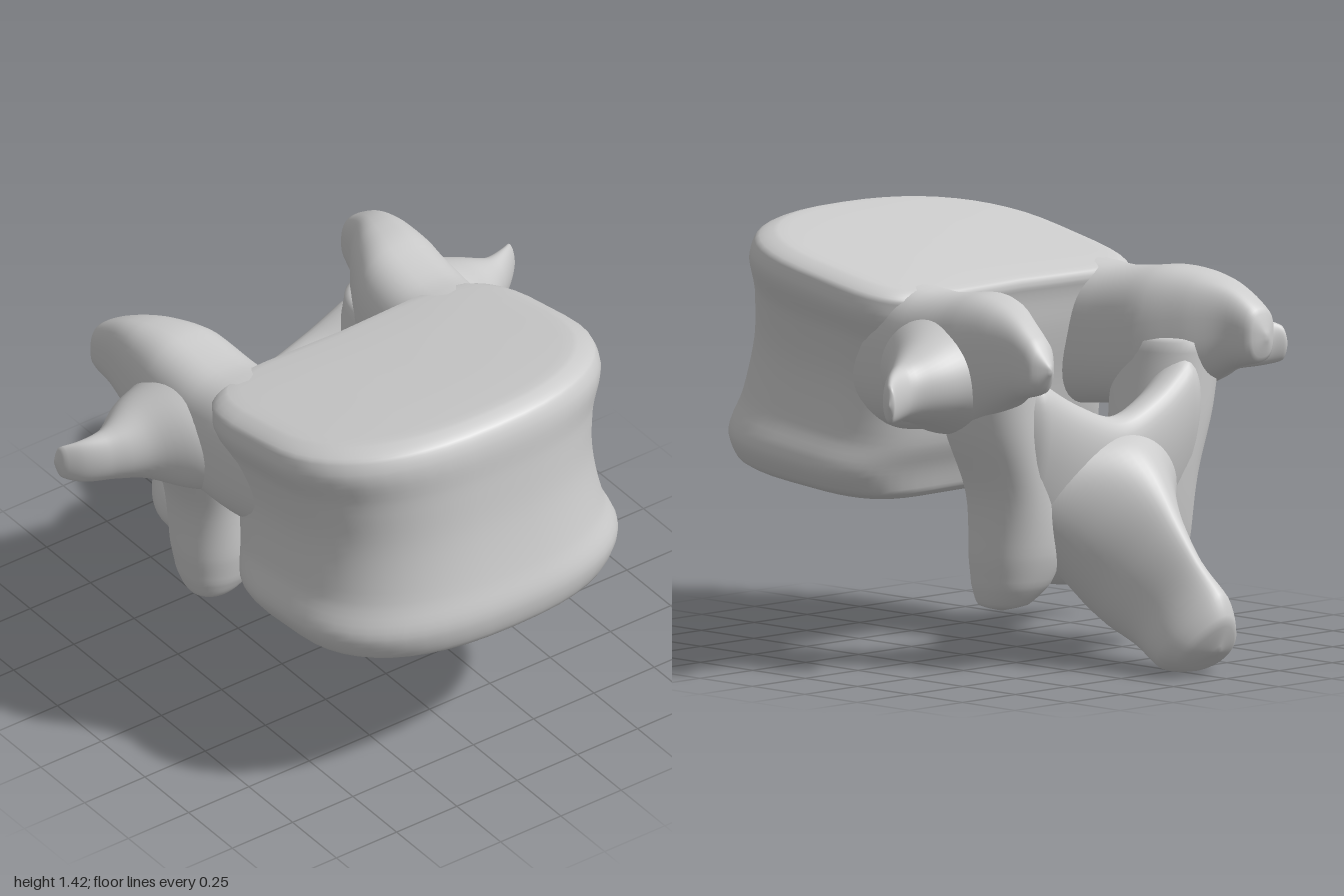
import * as THREE from 'three';
import { mergeVertices } from 'three/addons/utils/BufferGeometryUtils.js';

const X = new THREE.Vector3(1, 0, 0);
const Y = new THREE.Vector3(0, 1, 0);
const Z = new THREE.Vector3(0, 0, 1);
const SEGMENTS = 48;
const STEPS = 5;

// Section outlines: angle -> unit coordinates along the two section axes
const oval = (t) => [Math.cos(t), Math.sin(t)];
const squarish = (n) => (t) => oval(t).map((v) => Math.sign(v) * Math.abs(v) ** (2 / n));
const teardrop = (t) => [Math.cos(t) * (1 - 0.35 * Math.sin(t)), Math.sin(t)];
// Rounded in front, flatter and slightly hollow at the back
const kidney = (t) => {
  const [p, q] = squarish(Math.sin(t) > 0 ? 2.4 : 4.5)(t);
  return [p, q < 0 ? q * (1 - 0.08 * (1 - p * p) ** 2) : q];
};

// Smooth loft through rows of [x, y, z, radiusU, radiusV, tilt of V in y]
function loft(name, u, v, outline, rows, side = 1) {
  const path = new THREE.CatmullRomCurve3(rows.map((r) => new THREE.Vector3(r[0], r[1], r[2])));
  const sizes = new THREE.CatmullRomCurve3(rows.map((r) => new THREE.Vector3(r[3], r[4], r[5] ?? 0)));
  const rings = (rows.length - 1) * STEPS;
  const travel = path.getPoint(1).sub(path.getPoint(0));
  const flip = new THREE.Vector3().crossVectors(u, v).dot(travel) * side < 0;
  const positions = [];
  const index = [];
  for (let i = 0; i <= rings; i++) {
    const centre = path.getPoint(i / rings);
    const size = sizes.getPoint(i / rings);
    const tilted = v.clone().addScaledVector(Y, size.z);
    for (let j = 0; j < SEGMENTS; j++) {
      const [p, q] = outline((j / SEGMENTS) * Math.PI * 2);
      const point = centre.clone()
        .addScaledVector(u, p * Math.max(size.x, 0))
        .addScaledVector(tilted, q * Math.max(size.y, 0));
      positions.push(point.x * side, point.y, point.z);
      if (i === rings) continue;
      const k = (j + 1) % SEGMENTS;
      const a = i * SEGMENTS + j, b = i * SEGMENTS + k;
      const c = a + SEGMENTS, d = b + SEGMENTS;
      if (flip) index.push(a, c, b, b, c, d);
      else index.push(a, b, c, b, d, c);
    }
  }
  let geometry = new THREE.BufferGeometry();
  geometry.setAttribute('position', new THREE.Float32BufferAttribute(positions, 3));
  geometry.setIndex(index);
  geometry = mergeVertices(geometry, 1e-5);
  geometry.computeVertexNormals();
  const mesh = new THREE.Mesh(geometry, new THREE.MeshStandardMaterial({ color: 0xcccccc }));
  mesh.name = name;
  return mesh;
}

export function createModel() {
  const model = new THREE.Group();
  model.name = 'vertebra';

  // Waisted body with rounded rims and sloping end plates
  model.add(loft('vertebralBody', X, Z, kidney, [
    [0.01, 0.55, 0.54, 0, 0, 0.08],
    [0.01, 0.552, 0.54, 0.3, 0.22, 0.08],
    [0.01, 0.56, 0.54, 0.5, 0.37, 0.09],
    [0.01, 0.595, 0.55, 0.585, 0.43, 0.1],
    [0.01, 0.68, 0.545, 0.625, 0.455, 0.12],
    [0.01, 0.79, 0.505, 0.585, 0.465, 0.14],
    [0.01, 0.97, 0.465, 0.565, 0.465, 0.16],
    [0.01, 1.14, 0.435, 0.59, 0.475, 0.18],
    [0.01, 1.26, 0.42, 0.635, 0.48, 0.2],
    [0.01, 1.315, 0.4, 0.625, 0.475, 0.2],
    [0.01, 1.345, 0.375, 0.56, 0.435, 0.2],
    [0.01, 1.353, 0.37, 0.3, 0.23, 0.2],
    [0.01, 1.355, 0.37, 0, 0, 0.2],
  ]));

  // Plate closing the arch behind the canal, leaning back at the top
  const laminaHalf = [
    [0.18, 0.59, -0.375, 0.31, 0.125],
    [0.34, 0.69, -0.345, 0.31, 0.14],
    [0.42, 0.76, -0.33, 0.2, 0.11],
    [0.46, 0.78, -0.32, 0, 0],
  ];
  model.add(loft('lamina', new THREE.Vector3(0, 1, -0.25), Z, squarish(2.2), [
    ...laminaHalf.map(([x, ...rest]) => [-x, ...rest]).reverse(),
    [0, 0.55, -0.39, 0.29, 0.12],
    ...laminaHalf,
  ]));

  // Ridge flaring from the lamina, sweeping back and down to a knobbed tip
  model.add(loft('spinousProcess', X, new THREE.Vector3(0, 0.78, -0.62), teardrop, [
    [0, 0.64, -0.37, 0, 0],
    [0, 0.63, -0.38, 0.38, 0.2],
    [0, 0.575, -0.43, 0.33, 0.235],
    [0, 0.47, -0.51, 0.235, 0.255],
    [0, 0.34, -0.61, 0.145, 0.245],
    [0, 0.235, -0.74, 0.105, 0.205],
    [-0.01, 0.15, -0.855, 0.135, 0.18],
    [-0.01, 0.11, -0.92, 0.11, 0.12],
    [-0.01, 0.09, -0.95, 0, 0],
  ]));

  for (const [side, label] of [[1, 'left'], [-1, 'right']]) {
    // Pedicle flowing out of the body into the upper joint process
    model.add(loft(label + 'PedicleAndUpperProcess', X, Y, squarish(2.6), [
      [0.36, 1.02, 0.34, 0, 0],
      [0.37, 1.02, 0.3, 0.17, 0.21],
      [0.405, 1.035, 0.1, 0.19, 0.25],
      [0.425, 1.035, -0.08, 0.185, 0.232],
      [0.44, 1.055, -0.28, 0.175, 0.235],
      [0.475, 1.09, -0.43, 0.13, 0.19],
      [0.505, 1.1, -0.54, 0.085, 0.14],
      [0.52, 1.08, -0.64, 0.06, 0.09],
      [0.525, 1.075, -0.685 - side * 0.015, 0, 0],
    ], side));

    // Wing with a broad root, tapering to a thin outer tip; the right one sits further forward
    const shift = side > 0 ? 0 : 0.05;
    model.add(loft(label + 'TransverseProcess', Y, Z, oval, [
      [0.36, 1.02, -0.15, 0, 0],
      [0.4, 1.02, -0.15, 0.22, 0.31],
      [0.52, 1.015, -0.16, 0.21, 0.265],
      [0.6, 1.01, -0.175, 0.18, 0.22],
      [0.7, 1.0, -0.225, 0.135, 0.14],
      [0.81, 0.985, -0.26 + shift * 0.6, 0.095, 0.068],
      [0.9, 0.975, -0.31 + shift, 0.08, 0.04],
      [0.95, 0.97, -0.35 + shift, 0.06, 0.028],
      [0.968, 0.97, -0.365 + shift, 0, 0],
    ], side));

    // Lower joint process hanging from the arch
    model.add(loft(label + 'LowerProcess', X, Z, squarish(2.2), [
      [0.43, 1.1, -0.29, 0, 0],
      [0.43, 1.05, -0.29, 0.15, 0.19],
      [0.39, 0.83, -0.295, 0.155, 0.185],
      [0.335, 0.6, -0.31, 0.135, 0.16],
      [0.305, 0.4, -0.3, 0.155, 0.15],
      [0.315, 0.29, -0.29, 0.135, 0.125],
      [0.34, 0.22, -0.28, 0.085, 0.08],
      [0.35, 0.198, -0.28, 0, 0],
    ], side));
  }
  return model;
}
